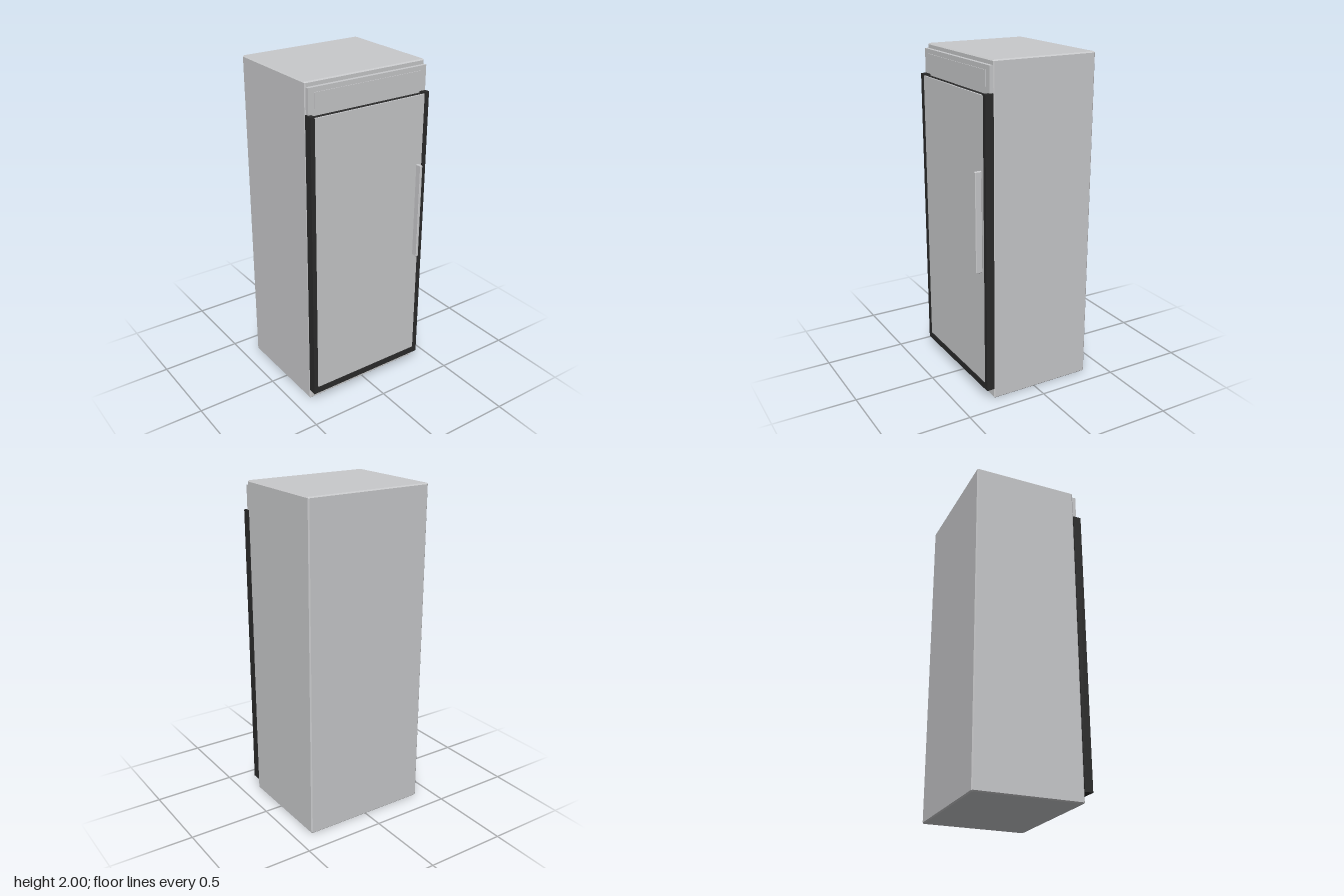
import * as THREE from 'three';
import { ConvexGeometry } from 'three/addons/geometries/ConvexGeometry.js';

const steel = new THREE.MeshStandardMaterial({ name: 'brushed steel', color: 0xc8c9cb });
const black = new THREE.MeshStandardMaterial({ name: 'black trim', color: 0x2b2b2b });

// Box between two corners with every edge cut at 45 degrees
function chamferedBox(min, max, c) {
  const half = max.map((v, i) => (v - min[i]) / 2);
  const mid = max.map((v, i) => (v + min[i]) / 2);
  const points = [];
  for (const sx of [-1, 1]) for (const sy of [-1, 1]) for (const sz of [-1, 1]) {
    for (let axis = 0; axis < 3; axis++) {
      const p = [sx, sy, sz].map((s, i) => mid[i] + s * (half[i] - (i === axis ? 0 : c)));
      points.push(new THREE.Vector3(...p));
    }
  }
  return new ConvexGeometry(points);
}

// Plain box between two corners
function box(min, max) {
  const size = max.map((v, i) => v - min[i]);
  return new THREE.BoxGeometry(...size)
    .translate(...max.map((v, i) => (v + min[i]) / 2));
}

export function createModel() {
  const model = new THREE.Group();
  model.name = 'refrigerator';
  const add = (name, geometry, material) => {
    const mesh = new THREE.Mesh(geometry, material);
    mesh.name = name;
    model.add(mesh);
  };

  // Cabinet
  add('cabinet', chamferedBox([-0.397, 0, -0.367], [0.397, 2, 0.28], 0.007), steel);

  // Door: dark core and frame around a slightly recessed steel panel
  add('doorCore', box([-0.371, 0.1, 0.281], [0.371, 1.81, 0.315]), black);
  add('doorPanel', box([-0.371, 0.103, 0.315], [0.371, 1.813, 0.325]), steel);
  for (const side of [-1, 1]) {
    const xs = [side * 0.371, side * 0.398].sort((a, b) => a - b);
    add(side > 0 ? 'leftDoorTrim' : 'rightDoorTrim',
      box([xs[0], 0.065, 0.28], [xs[1], 1.825, 0.33]), black);
  }
  add('bottomDoorTrim', box([-0.371, 0.065, 0.28], [0.371, 0.103, 0.33]), black);

  // Grille cover above the door, with a raised plate
  add('topCover', box([-0.392, 1.827, 0.279], [0.392, 1.972, 0.302]), steel);
  add('topCoverPlate', box([-0.355, 1.855, 0.302], [0.355, 1.945, 0.306]), steel);

  // Handle
  add('handle', chamferedBox([0.33, 0.803, 0.325], [0.347, 1.4, 0.367], 0.004), steel);

  return model;
}
